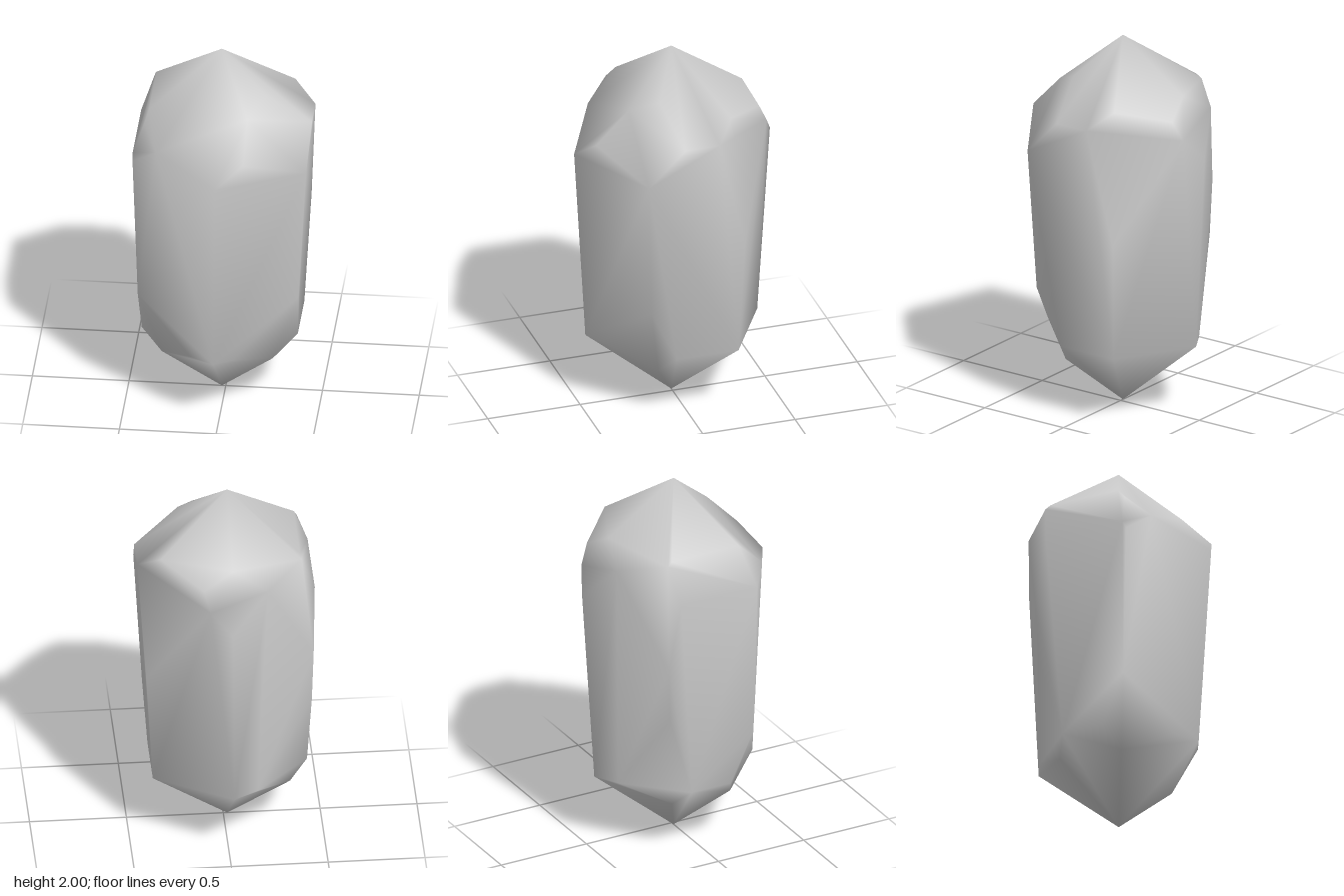
import * as THREE from 'three';
import { ConvexGeometry } from 'three/addons/geometries/ConvexGeometry.js';
import { mergeVertices } from 'three/addons/utils/BufferGeometryUtils.js';

const AXIS_X = -0.02; // both tips stand on this line

// Planes are [a, b, c, d], keeping a*x + b*y + c*z <= d
const radial = (deg) => [Math.sin(THREE.MathUtils.degToRad(deg)), Math.cos(THREE.MathUtils.degToRad(deg))];

// Cut facing outward at an angle (0 = front, 90 = +x), through two points
// (radius, height): the upper one first
function cut(deg, r1, y1, r2, y2) {
  const [sx, cz] = radial(deg);
  const slope = (r2 - r1) / (y1 - y2);
  return [sx, slope, cz, r1 + slope * y1 + sx * AXIS_X];
}

// Corner points of the solid enclosed by all planes
function cornersOf(planes) {
  const points = [];
  const m = new THREE.Matrix3();
  for (let i = 0; i < planes.length; i++) {
    for (let j = i + 1; j < planes.length; j++) {
      for (let k = j + 1; k < planes.length; k++) {
        const trio = [planes[i], planes[j], planes[k]];
        m.set(...trio.flatMap((p) => p.slice(0, 3)));
        if (Math.abs(m.determinant()) < 1e-5) continue;
        const p = new THREE.Vector3(...trio.map((q) => q[3])).applyMatrix3(m.invert());
        const inside = planes.every(([a, b, c, d]) => a * p.x + b * p.y + c * p.z <= d + 1e-5);
        if (inside && points.every((q) => q.distanceTo(p) > 0.004)) points.push(p);
      }
    }
  }
  return points;
}

export function createModel() {
  const planes = [];

  // Six-sided column widening upward, with a pointed cap at each end
  for (let deg = 30; deg < 360; deg += 60) {
    const [sx, cz] = radial(deg);
    const flare = 0.056 - 0.013 * sx * sx + 0.013 * sx;
    planes.push([sx, -flare, cz, 0.403 - 0.39 * flare + sx * AXIS_X]);
    planes.push(cut(deg, 0, 2, 0.468, 1.64));
    planes.push(cut(deg, 0.403, 0.39, 0, 0));
  }

  // Chips around the upper point
  planes.push(
    cut(-13.5, 0, 2, 0.4, 1.58),
    cut(45, 0.3, 1.77, 0.5, 1.47),
    cut(135, 0.4, 1.73, 0.5, 0.95),
    cut(180, 0.38, 1.75, 0.53, 1.44),
    cut(225, 0.42, 1.74, 0.5, 0.99),
    cut(270, 0.36, 1.72, 0.43, 1.52),
    cut(315, 0.418, 1.71, 0.487, 1.5),
  );

  // Chips around the lower point
  planes.push(
    cut(45, 0.47, 0.69, 0.3, 0.24),
    cut(225, 0.5, 0.97, 0.35, 0.32),
    cut(315, 0.48, 0.71, 0.33, 0.29),
  );

  // Smooth shading across all the facets
  const hull = new ConvexGeometry(cornersOf(planes));
  hull.deleteAttribute('normal');
  const geometry = mergeVertices(hull, 1e-4);
  geometry.computeVertexNormals();

  const crystal = new THREE.Mesh(geometry, new THREE.MeshStandardMaterial({ color: 0xcccccc }));
  crystal.name = 'crystal';
  const group = new THREE.Group();
  group.name = 'chippedCrystal';
  group.add(crystal);
  return group;
}
